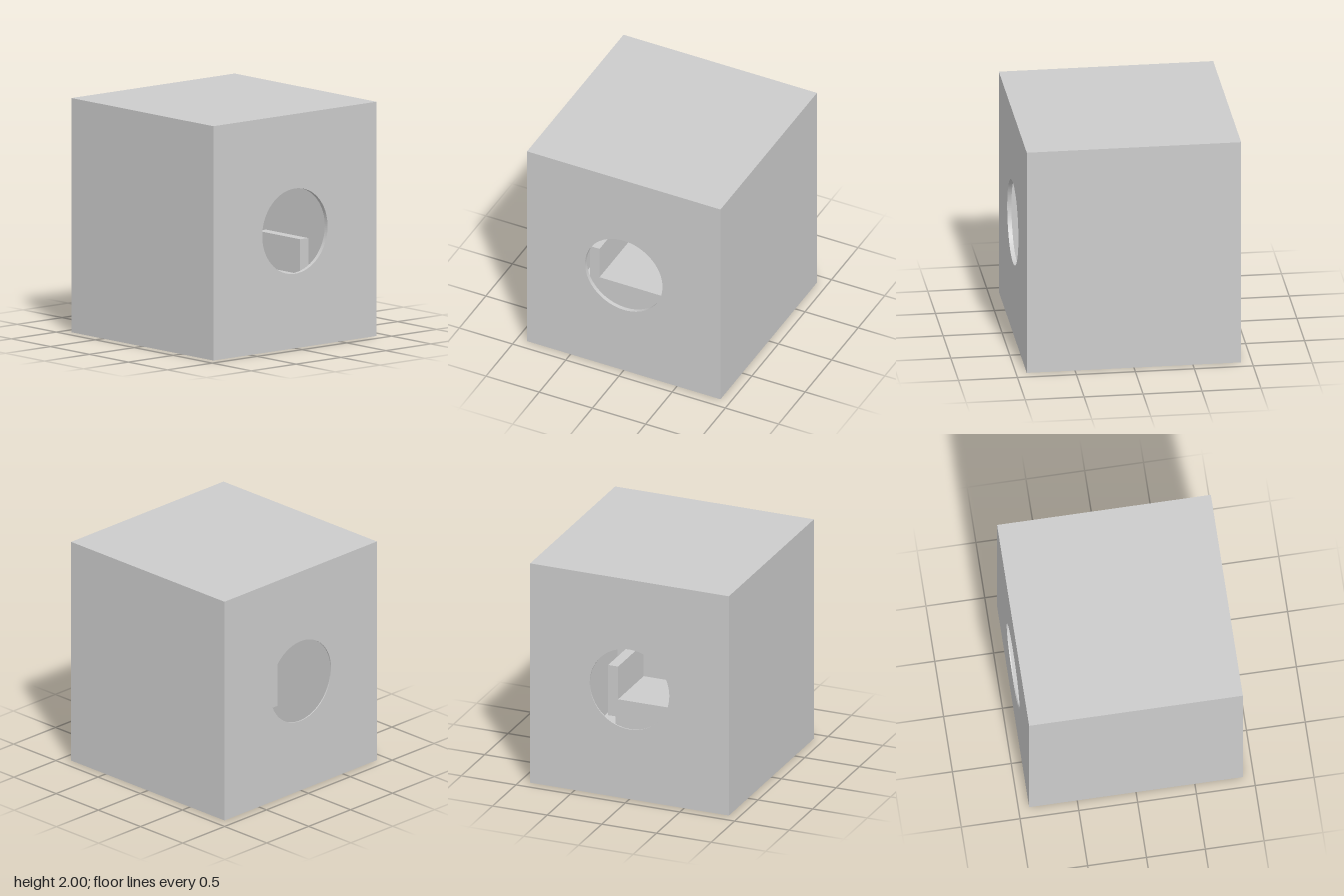
import * as THREE from 'three';

const W = 1.818, H = 2, T = 0.036, HOLE = 0.364;
const LEFT_T = T, RIGHT_T = 0.01; // the +x and -x panels

export function createModel() {
  const model = new THREE.Group();
  const material = new THREE.MeshStandardMaterial({ color: 0xcccccc });

  const add = (name, geometry, x, y, z, parent = model) => {
    const mesh = new THREE.Mesh(geometry, material);
    mesh.name = name;
    mesh.position.set(x, y, z);
    parent.add(mesh);
  };

  // Side panels, each with a round opening
  const sidePanel = (name, thickness, x) => {
    const shape = new THREE.Shape([
      new THREE.Vector2(-W / 2, 0), new THREE.Vector2(W / 2, 0),
      new THREE.Vector2(W / 2, H), new THREE.Vector2(-W / 2, H),
    ]);
    shape.holes.push(new THREE.Path().absarc(0, H / 2, HOLE, 0, Math.PI * 2, true));
    const geometry = new THREE.ExtrudeGeometry(shape, { depth: thickness, bevelEnabled: false, curveSegments: 64 });
    add(name, geometry.rotateY(Math.PI / 2), x, 0, 0);
  };
  sidePanel('leftPanel', LEFT_T, W / 2 - LEFT_T);
  sidePanel('rightPanel', RIGHT_T, -W / 2);

  // Closed walls between the side panels
  const span = W - LEFT_T - RIGHT_T;
  const midX = (RIGHT_T - LEFT_T) / 2;
  add('floor', new THREE.BoxGeometry(span, T, W), midX, T / 2, 0);
  add('ceiling', new THREE.BoxGeometry(span, T, W), midX, H - T / 2, 0);
  for (const [name, s] of [['frontWall', 1], ['backWall', -1]]) {
    add(name, new THREE.BoxGeometry(span, H - 2 * T, T), midX, H / 2, s * (W - T) / 2);
  }

  // Cradle inside: a pedestal carrying a tray with two upright sides
  const cradle = new THREE.Group();
  cradle.name = 'cradle';
  cradle.position.x = 0.182;
  model.add(cradle);
  const length = 0.546, base = 0.36, trayTop = 0.52, top = 0.818;
  add('pedestal', new THREE.BoxGeometry(length, base - T, 0.956), 0, (base + T) / 2, 0, cradle);
  add('tray', new THREE.BoxGeometry(length, trayTop - base, 0.908), 0, (trayTop + base) / 2, 0, cradle);
  for (const s of [1, -1]) {
    add('cradleSide', new THREE.BoxGeometry(length, top - base, 0.091), 0, (top + base) / 2, s * 0.4995, cradle);
  }
  return model;
}
